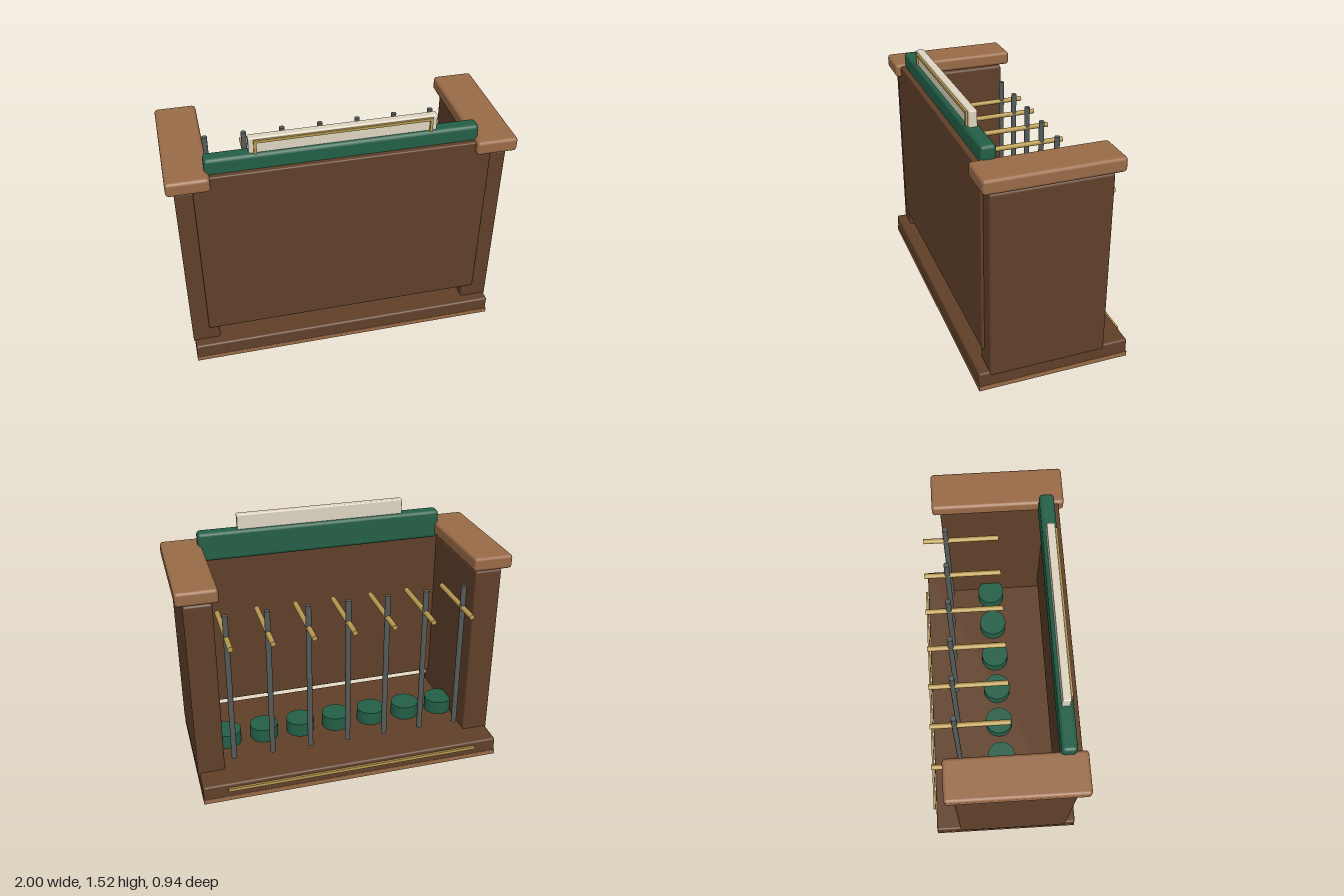
import * as THREE from 'three';
import { RoundedBoxGeometry } from 'three/addons/geometries/RoundedBoxGeometry.js';

const mat = (name, color) => {
  const m = new THREE.MeshStandardMaterial({ color });
  m.name = name;
  return m;
};

export function createModel() {
  const darkWood = mat('dark wood', 0x604029);
  const lightWood = mat('light wood', 0x9a6b47);
  const green = mat('green felt', 0x235f47);
  const cream = mat('cream', 0xded5c1);
  const brass = mat('brass', 0xb8994f);
  const steel = mat('steel grey', 0x565c5b);

  const group = new THREE.Group();
  const add = (name, geometry, material, x = 0, y = 0, z = 0) => {
    const mesh = new THREE.Mesh(geometry, material);
    mesh.name = name;
    mesh.position.set(x, y, z);
    group.add(mesh);
  };
  // Box given by its limits on each axis, with optional rounded edges
  const box = (name, material, [x0, x1], [y0, y1], [z0, z1], r = 0) => {
    const size = [x1 - x0, y1 - y0, z1 - z0];
    const geometry = r ? new RoundedBoxGeometry(...size, 2, r) : new THREE.BoxGeometry(...size);
    add(name, geometry, material, (x0 + x1) / 2, (y0 + y1) / 2, (z0 + z1) / 2);
  };

  // Base on a lighter bottom board, with a thin rail behind
  box('base', darkWood, [-0.948, 0.948], [0.004, 0.118], [-0.45, 0.468], 0.012);
  box('bottomBoard', lightWood, [-0.95, 0.95], [0, 0.03], [-0.452, 0.47]);
  box('baseRail', brass, [-0.8, 0.8], [0.076, 0.096], [-0.47, -0.456]);

  // Side walls and their caps
  for (const s of [-1, 1]) {
    const span = (a, b) => (s > 0 ? [a, b] : [-b, -a]);
    box('sideWall', darkWood, span(0.79, 0.957), [0.095, 1.248], [-0.295, 0.405], 0.015);
    box('sideCap', lightWood, span(0.757, 1), [1.266, 1.353], [-0.34, 0.453], 0.02);
  }

  // Front panel, top bar and framed plate
  box('frontPanel', darkWood, [-0.855, 0.855], [0.213, 1.338], [0.345, 0.42], 0.008);
  box('topBar', green, [-0.78, 0.78], [1.247, 1.43], [0.3, 0.388], 0.022);
  box('plate', cream, [-0.532, 0.532], [1.4, 1.523], [0.32, 0.367], 0.008);
  box('plateFrameTop', brass, [-0.504, 0.504], [1.495, 1.511], [0.362, 0.379]);
  for (const x of [-0.496, 0.496]) {
    box('plateFrameSide', brass, [x - 0.008, x + 0.008], [1.42, 1.495], [0.362, 0.379]);
  }

  // Seven pads, each with an upright rod and a crossbar
  const pad = new THREE.CylinderGeometry(0.09, 0.09, 0.095, 32);
  const rod = new THREE.CylinderGeometry(0.017, 0.017, 0.975, 16);
  const bar = new THREE.CylinderGeometry(0.016, 0.016, 0.475, 16).rotateX(Math.PI / 2);
  for (let i = -3; i <= 3; i++) {
    const x = i * 0.242;
    add('pad', pad, green, x, 0.16, 0.005);
    add('uprightRod', rod, steel, x, 0.6675, -0.274);
    add('crossbar', bar, brass, x, 1.013, -0.18);
  }
  return group;
}
